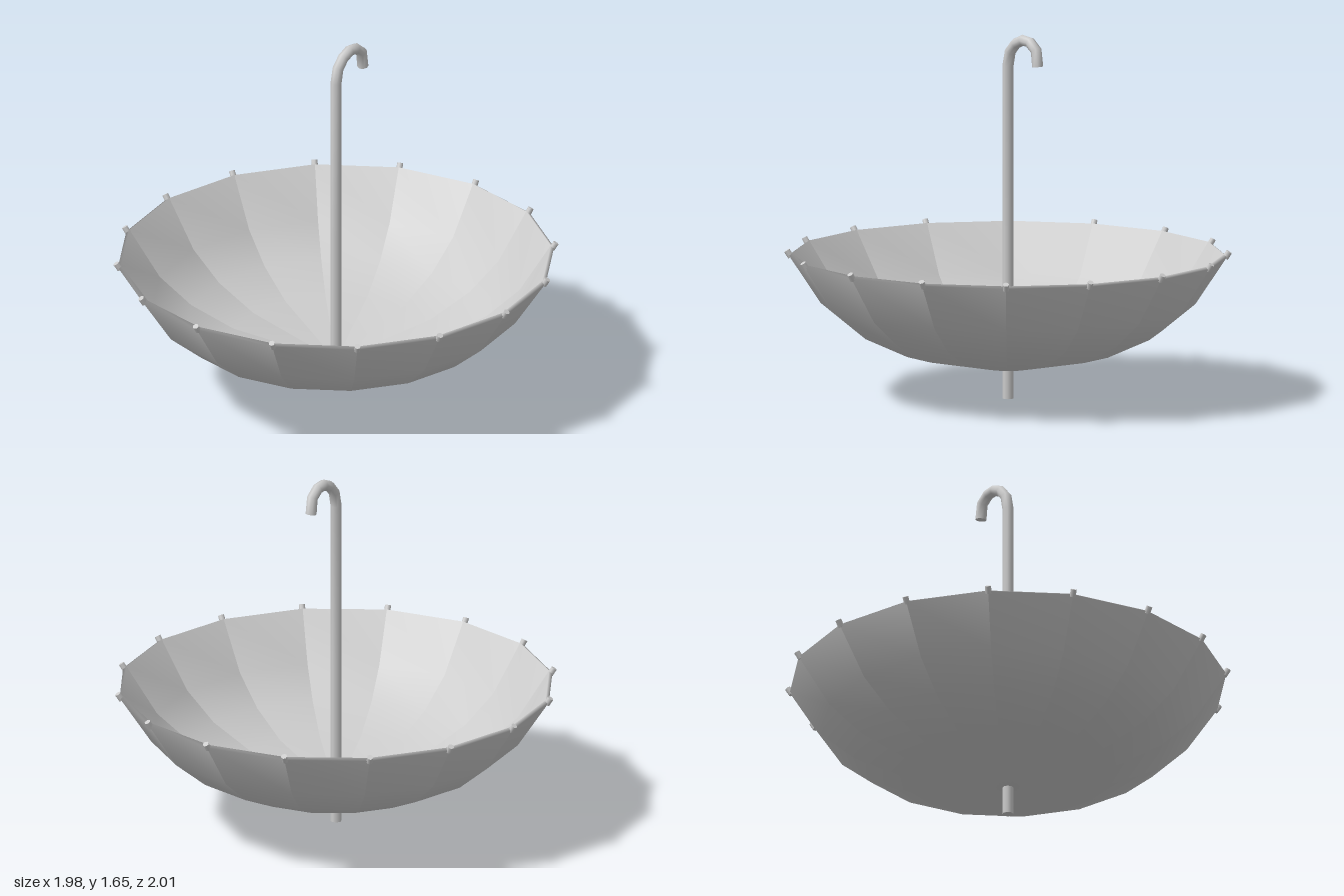
import * as THREE from 'three';
import { mergeGeometries } from 'three/addons/utils/BufferGeometryUtils.js';

const PANELS = 16;
const STEP = (Math.PI * 2) / PANELS;
const DEPTH = 1.012; // the canopy is slightly deeper than wide

export function createModel() {
  const group = new THREE.Group();
  const grey = new THREE.MeshStandardMaterial({ color: 0xcccccc });

  const add = (name, geometry, parent = group) => {
    const mesh = new THREE.Mesh(geometry, grey);
    mesh.name = name;
    parent.add(mesh);
    return mesh;
  };

  // Canopy: shell with an even thickness, outside up to the rim, back down the inside;
  // each panel is smooth along its length and over the rim, creased at the ribs
  const profile = [
    [0, 0.126], [0.12, 0.142], [0.48, 0.213], [0.68, 0.305], [0.83, 0.428], [0.972, 0.643],
    [0.957, 0.653], [0.817, 0.44], [0.671, 0.32], [0.475, 0.23], [0.118, 0.16], [0, 0.144],
  ].map(([r, y]) => new THREE.Vector2(r, y));
  const panels = [];
  for (let i = 0; i < PANELS; i++) {
    const panel = new THREE.LatheGeometry(profile, 1, i * STEP, STEP).scale(1, 1, DEPTH);
    panel.computeVertexNormals();
    panels.push(panel);
  }
  add('canopy', mergeGeometries(panels));

  // Rib tips poking out past the rim
  const tips = new THREE.Group();
  tips.name = 'ribTips';
  const tipGeometry = new THREE.CylinderGeometry(0.014, 0.014, 0.034, 8).rotateX(Math.atan2(0.14, 0.22));
  for (let i = 0; i < PANELS; i++) {
    const angle = i * STEP;
    const tip = add('ribTip', tipGeometry, tips);
    tip.position.set(0.971 * Math.sin(angle), 0.65, 0.971 * DEPTH * Math.cos(angle));
    tip.rotation.y = angle;
  }
  group.add(tips);

  // Shaft with hooked handle: one tube through the listed [z, y] stations
  const path = [[0, 0], [0, 0.75], [0, 1.5], [-0.014, 1.565], [-0.05, 1.605], [-0.095, 1.625],
    [-0.14, 1.62], [-0.18, 1.588], [-0.19, 1.515]].map(([z, y]) => new THREE.Vector3(0, y, z));
  const curve = new THREE.CatmullRomCurve3(path);
  curve.getPointAt = (t, target) => curve.getPoint(t, target);
  curve.getTangentAt = (t, target) => curve.getTangent(t, target);
  add('shaftAndHandle', new THREE.TubeGeometry(curve, path.length - 1, 0.025, 8));

  // End caps of the shaft
  const cap = new THREE.CircleGeometry(0.025, 8);
  add('bottomCap', cap).rotation.x = Math.PI / 2;
  const handleCap = add('handleCap', cap);
  handleCap.position.copy(path[path.length - 1]);
  handleCap.quaternion.setFromUnitVectors(new THREE.Vector3(0, 0, 1), curve.getTangent(1));

  return group;
}
